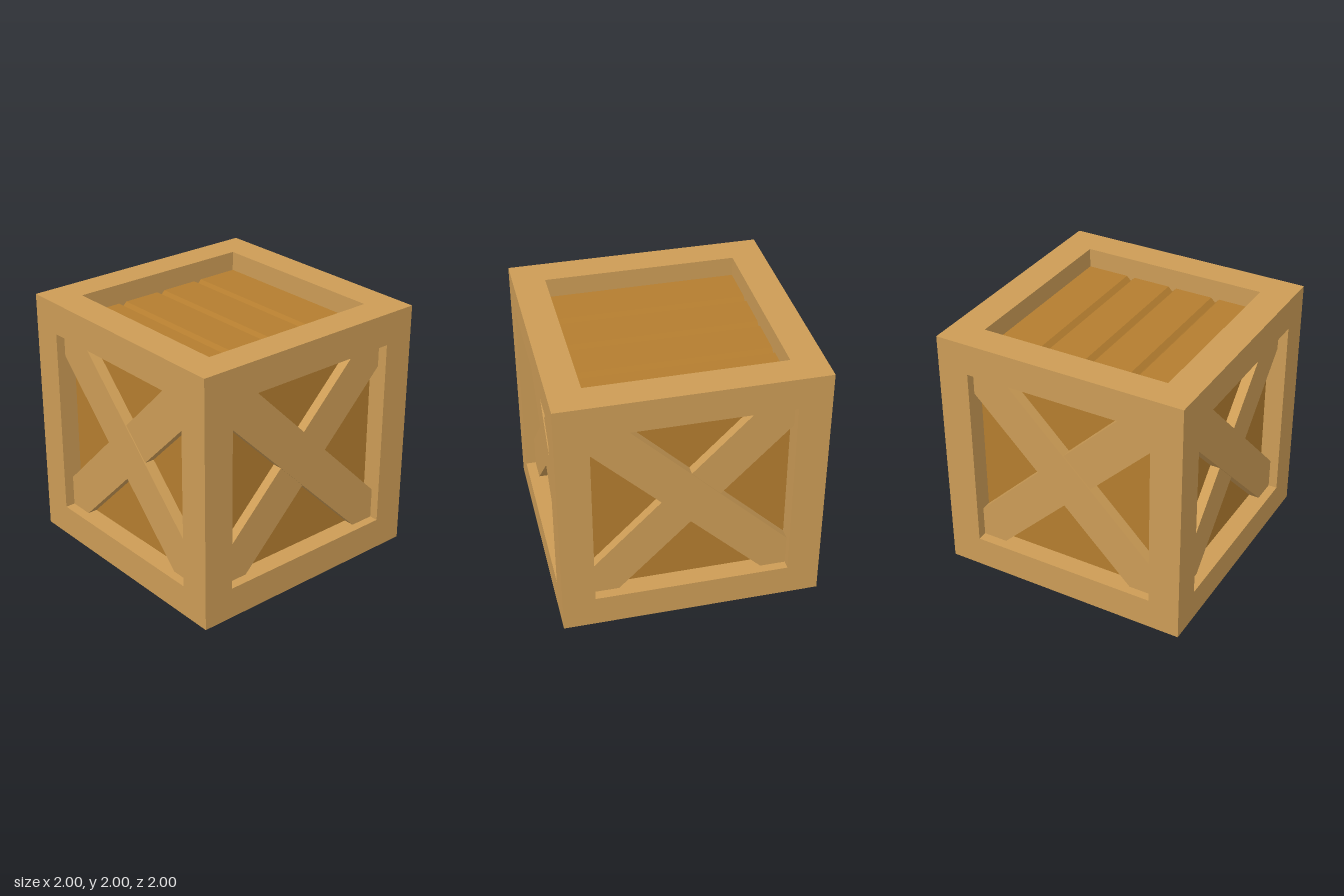
import * as THREE from 'three';

const frameMat = new THREE.MeshStandardMaterial({ color: 0xcc9c56 });
const panelMat = new THREE.MeshStandardMaterial({ color: 0xb47d2f });

const BEAM = 0.25;          // frame beam thickness
const OPEN = 2 - 2 * BEAM;  // opening between beams
const MID = 1 - BEAM / 2;   // beam centre line
const PANEL = 0.845;        // distance of recessed panels from the centre

function box(parent, name, mat, size, pos) {
  const mesh = new THREE.Mesh(new THREE.BoxGeometry(...size), mat);
  mesh.name = name;
  mesh.position.set(...pos);
  parent.add(mesh);
  return mesh;
}

// One side: recessed panel, two horizontal rails, corner post and crossed braces
function createSide() {
  const side = new THREE.Group();
  side.name = 'side';
  box(side, 'sidePanel', panelMat, [OPEN, OPEN, 0.05], [0, 1, PANEL - 0.025]);
  box(side, 'bottomRail', frameMat, [OPEN, BEAM, BEAM], [0, BEAM / 2, MID]);
  box(side, 'topRail', frameMat, [OPEN, BEAM, BEAM], [0, 2 - BEAM / 2, MID]);
  box(side, 'cornerPost', frameMat, [BEAM, 2, BEAM], [MID, 1, MID]);

  // Brace ends are buried in the frame; the rear one sits slightly deeper
  const braces = [['frontBrace', -1, 0.93], ['rearBrace', 1, 0.922]];
  for (const [name, dir, face] of braces) {
    const depth = face - PANEL + 0.02;
    const brace = box(side, name, frameMat, [2.2, 0.313, depth], [0, 1.024, face - depth / 2]);
    brace.rotation.z = dir * Math.PI / 4;
  }
  return side;
}

// Plank lid: cross-section in z and y with V grooves, extruded along x
function createLid() {
  const half = OPEN / 2, groove = 0.035, top = 2 - 0.155;
  const s = new THREE.Shape();
  s.moveTo(-half, top - 0.1);
  s.lineTo(half, top - 0.1);
  s.lineTo(half, top);
  for (const c of [0.375, 0, -0.375]) {
    s.lineTo(c + groove, top);
    s.lineTo(c, top - groove);
    s.lineTo(c - groove, top);
  }
  s.lineTo(-half, top);
  s.closePath();
  const geo = new THREE.ExtrudeGeometry(s, { depth: OPEN, bevelEnabled: false });
  geo.translate(0, 0, -half);
  geo.rotateY(Math.PI / 2);
  const lid = new THREE.Mesh(geo, panelMat);
  lid.name = 'plankLid';
  return lid;
}

export function createModel() {
  const crate = new THREE.Group();
  crate.name = 'crate';
  for (let i = 0; i < 4; i++) {
    const side = createSide();
    side.rotation.y = i * Math.PI / 2;
    crate.add(side);
  }
  crate.add(createLid());
  box(crate, 'floor', frameMat, [OPEN, BEAM, OPEN], [0, BEAM / 2, 0]);
  return crate;
}
